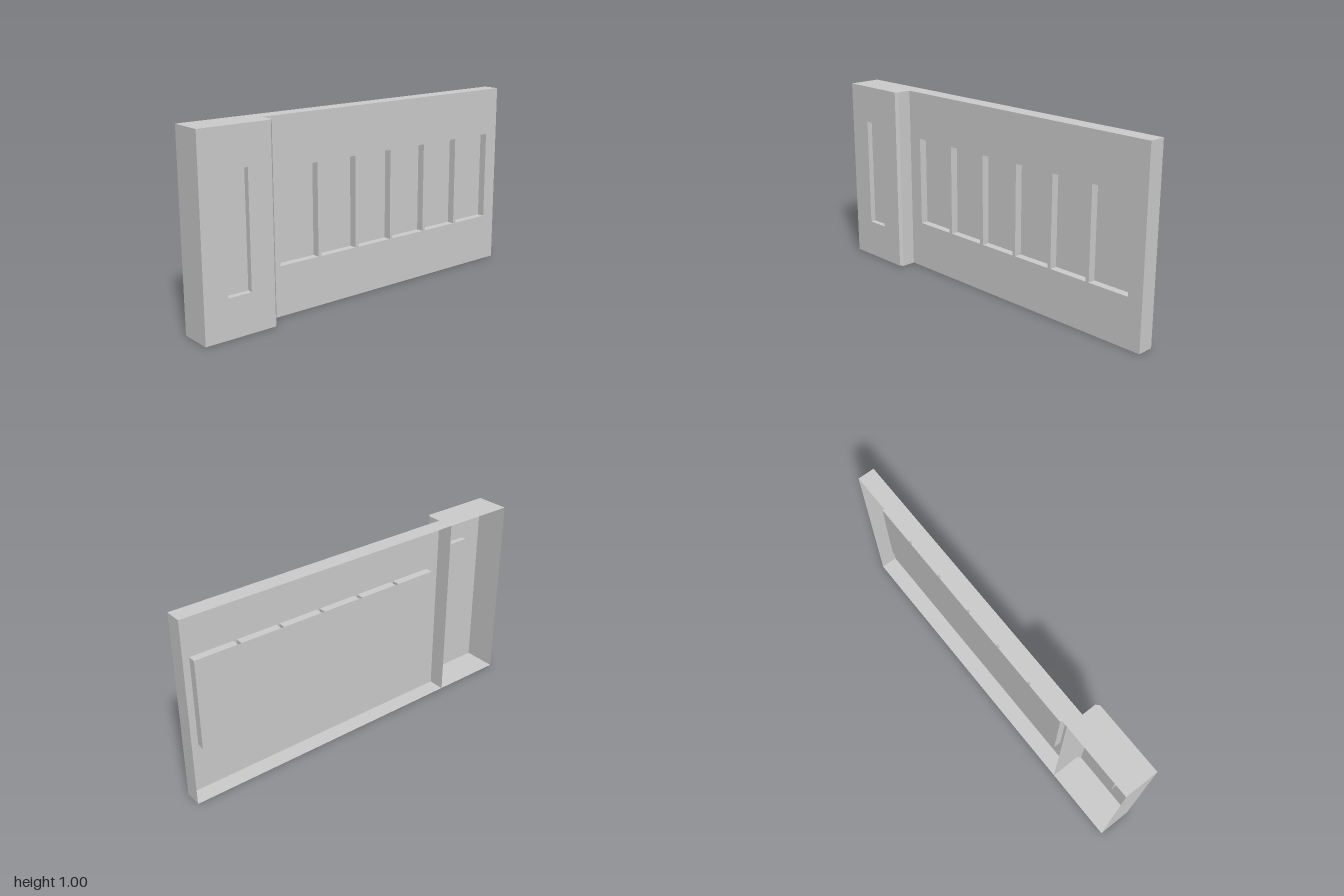
import * as THREE from 'three';

const material = new THREE.MeshStandardMaterial({ color: 0xcccccc, side: THREE.DoubleSide, flatShading: true });

const toPoints = (list) => list.map(([x, y]) => new THREE.Vector2(x, y));
const corners = ([x0, x1, y0, y1]) => [[x0, y0], [x1, y0], [x1, y1], [x0, y1]];

// Flat sheet in the xy plane with rectangular openings
function sheet(outline, openings = []) {
  const shape = new THREE.Shape(toPoints(outline));
  for (const o of openings) shape.holes.push(new THREE.Path(toPoints(corners(o).reverse())));
  return new THREE.ShapeGeometry(shape);
}

// Thin wall following a line of xy points, from z0 to z1; faces right of its direction
function ribbon(line, z0, z1) {
  const pos = [];
  for (let i = 0; i < line.length - 1; i++) {
    const [a, b] = [line[i], line[i + 1]];
    pos.push(...a, z0, ...b, z0, ...b, z1, ...a, z0, ...b, z1, ...a, z1);
  }
  const g = new THREE.BufferGeometry();
  g.setAttribute('position', new THREE.Float32BufferAttribute(pos, 3));
  g.computeVertexNormals();
  return g;
}

export function createModel() {
  const group = new THREE.Group();
  const add = (name, geometry) => {
    const mesh = new THREE.Mesh(geometry, material);
    mesh.name = name;
    group.add(mesh);
  };

  const back = -0.09, front = 0.09, step = -0.6, chamferX = -0.615, chamferZ = 0.075, height = 1;
  const windowDepth = 0.042, slotDepth = 0.03;
  const slot = [-0.87, -0.745, 0.205, 0.8];
  const windows = [
    [-0.52, -0.287], [-0.268, -0.047], [-0.027, 0.19],
    [0.208, 0.43], [0.448, 0.67], [0.69, 0.92],
  ].map(([x0, x1]) => [x0, x1, 0.26, 0.745]);

  // Front faces
  add('windowWall', sheet(corners([step, 1, 0, height]), windows));
  add('pierFace', sheet(corners([-1, chamferX, 0, height]), [slot]).translate(0, 0, front));

  // Upright end walls and the stepped pier side, drawn in plan as [x, z]
  const upright = (plan) => ribbon(plan.map(([x, z]) => [x, -z]), 0, height).rotateX(-Math.PI / 2);
  add('leftEnd', upright([[1, 0], [1, back]]));
  add('rightEnd', upright([[-1, back], [-1, front]]));
  add('pierSide', upright([[chamferX, front], [step, chamferZ], [step, back]]));

  // Top and bottom edges; the back stays open
  const plan = [[-1, back], [1, back], [1, 0], [step, 0], [step, chamferZ], [chamferX, front], [-1, front]];
  add('topEdge', sheet(plan.map(([x, z]) => [x, -z])).rotateX(-Math.PI / 2).translate(0, height, 0));
  add('bottomEdge', sheet(plan).rotateX(Math.PI / 2));

  // Reveals around each opening
  const reveal = (rect, z0, z1) => {
    const loop = corners(rect).reverse();
    return ribbon([...loop, loop[0]], z0, z1);
  };
  windows.forEach((w, i) => add(`windowReveal${i + 1}`, reveal(w, -windowDepth, 0)));
  add('slotReveal', reveal(slot, front - slotDepth, front));

  // Recessed panes: one shared sheet behind the windows, one behind the slot
  add('windowPane', sheet(corners([-0.52, 0.92, 0.26, 0.745])).translate(0, 0, -windowDepth));
  add('slotPane', sheet(corners(slot)).translate(0, 0, front - slotDepth));

  return group;
}
